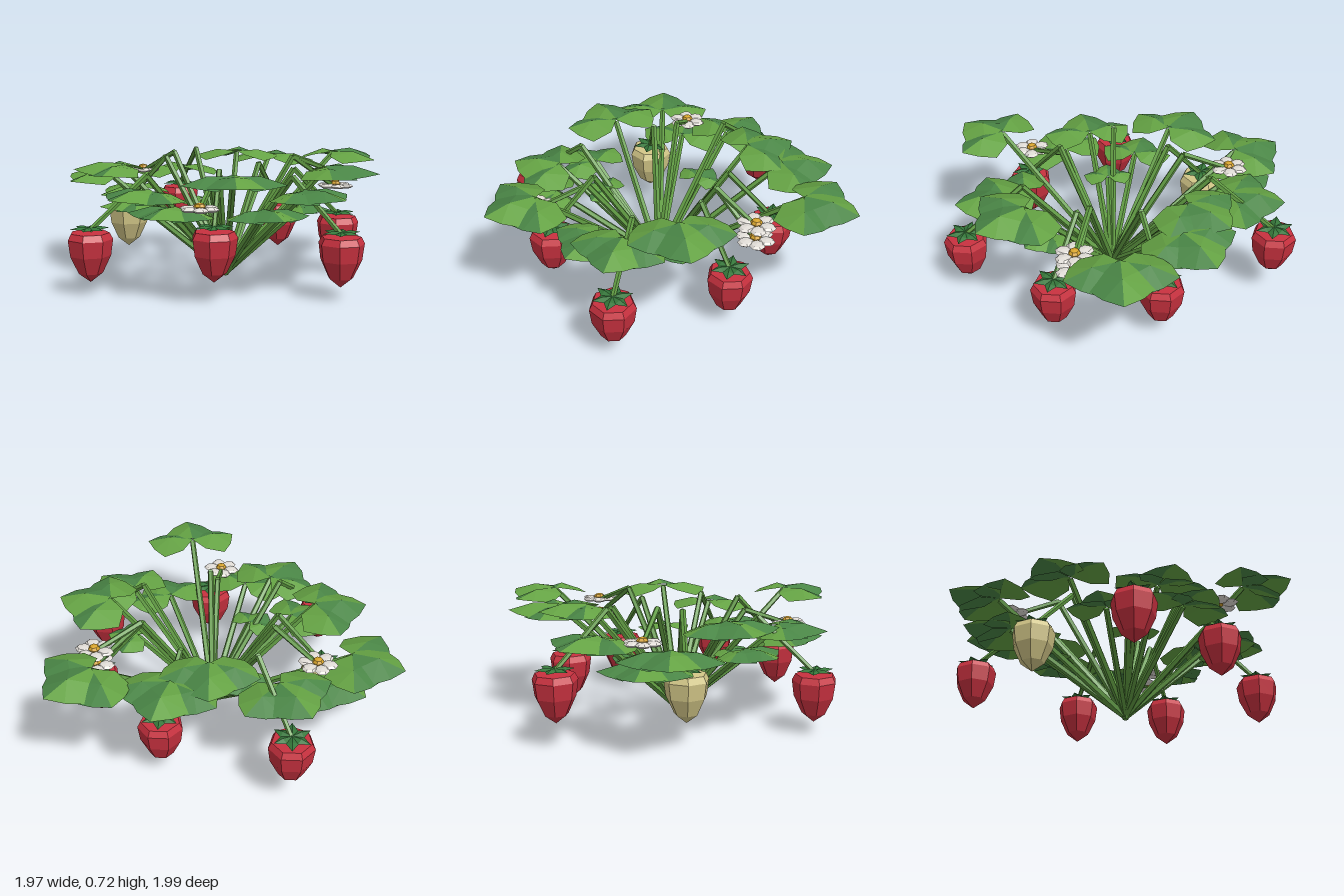
import * as THREE from 'three';

const mat = (name, color, side = THREE.FrontSide) => {
  const m = new THREE.MeshStandardMaterial({ color, flatShading: true, side });
  m.name = name;
  return m;
};
const V = (x, y, z) => new THREE.Vector3(x, y, z);
const CROWN = V(0.1, 0.02, -0.03);

export function createModel() {
  const root = new THREE.Group();
  root.name = 'strawberryPlant';
  const M = {
    stem: mat('stemGreen', 0x609b42),
    light: mat('lightLeafGreen', 0x65a344, THREE.DoubleSide),
    dark: mat('deepLeafGreen', 0x4a8646, THREE.DoubleSide),
    calyx: mat('calyxGreen', 0x35773a, THREE.DoubleSide),
    red: mat('ripeRed', 0xc8313f),
    cream: mat('unripeCream', 0xd3c788),
    petal: mat('petalWhite', 0xe2ded8),
    yellow: mat('pollenYellow', 0xd9a52c),
  };
  const add = (parent, geo, material, name) => {
    const mesh = new THREE.Mesh(geo, material);
    mesh.name = name;
    parent.add(mesh);
    return mesh;
  };
  const group = (name) => {
    const g = new THREE.Group();
    g.name = name;
    root.add(g);
    return g;
  };

  // Straight stalk segments through a list of points
  function stalk(parent, points, name, r = 0.021) {
    for (let i = 0; i + 1 < points.length; i++) {
      const [a, b] = [points[i], points[i + 1]];
      const d = b.clone().sub(a);
      const geo = new THREE.CylinderGeometry(r * 0.82, r, d.length(), 5);
      const mesh = add(parent, geo, M.stem, name);
      mesh.position.copy(a).add(b).multiplyScalar(0.5);
      mesh.quaternion.setFromUnitVectors(V(0, 1, 0), d.normalize());
      r *= 0.82;
    }
  }

  // Leaflet: two faceted halves around a raised middle, pointing along +z
  function leafletGeometry(len, w, flip) {
    const mid = [0, 0.006, len * 0.5];
    const half = (s) => [
      [0, 0, 0], [s * w * 0.72, -0.02, len * 0.14], [s * w, -0.052, len * 0.52],
      [s * w * 0.58, -0.042, len * 0.8], [0, -0.035, len],
    ];
    const pos = [];
    for (const s of [1, -1]) {
      const rim = half(s);
      for (let i = 0; i < 4; i++) {
        const [a, b] = s > 0 ? [rim[i + 1], rim[i]] : [rim[i], rim[i + 1]];
        pos.push(...mid, ...a, ...b);
      }
    }
    const geo = new THREE.BufferGeometry();
    geo.setAttribute('position', new THREE.Float32BufferAttribute(pos, 3));
    geo.computeVertexNormals();
    geo.addGroup(0, 12, flip ? 1 : 0);
    geo.addGroup(12, 12, flip ? 0 : 1);
    return geo;
  }
  const side = [leafletGeometry(0.28, 0.148, false), leafletGeometry(0.28, 0.148, true)];
  const front = leafletGeometry(0.285, 0.155, false);

  // Three-part leaves on long stalks: centre x, top y, centre z, size
  const leaves = [
    [0.29, 0.66, -0.8, 1.04], [0.75, 0.69, -0.73, 1.07], [0.79, 0.67, 0.06, 1.08],
    [0.67, 0.57, 0.38, 0.98], [0.43, 0.47, 0.48, 0.9], [0.29, 0.69, 0.81, 1.02],
    [-0.28, 0.57, 0.56, 1], [-0.1, 0.49, 0.62, 0.95], [-0.59, 0.66, 0.08, 1.05],
    [-0.785, 0.57, -0.33, 1.06], [-0.35, 0.58, -0.67, 1.04], [0.07, 0.69, -0.67, 1],
    [-0.6, 0.47, -0.42, 0.98], [-0.43, 0.47, 0.26, 0.8],
    [-0.13, 0.41, -0.38, 0.54], [-0.15, 0.42, 0.25, 0.54], [0.6, 0.44, 0.02, 0.62],
  ];
  for (const [x, y, z, s] of leaves) {
    const g = group('leaf');
    const dir = V(x - CROWN.x, 0, z - CROWN.z).normalize();
    const hub = V(x, y, z).addScaledVector(dir, -0.095 * s);
    stalk(g, [CROWN, hub.clone().setY(y - 0.012)], 'leafStalk');
    const blade = new THREE.Group();
    blade.name = 'leafBlade';
    blade.position.copy(hub);
    blade.rotation.y = Math.atan2(dir.x, dir.z);
    blade.scale.setScalar(s);
    g.add(blade);
    const mats = [M.light, M.dark];
    add(blade, front, mats, 'middleLeaflet').position.y = 0.008;
    [1, -1].forEach((k, i) => {
      add(blade, side[i], mats, 'sideLeaflet').rotation.y = k * 1.25;
    });
  }

  // Arching stalk that peaks part-way and comes down on its fruit or flower
  const arch = (g, end, peakY, name) => {
    const peak = CROWN.clone().lerp(end, 0.6).setY(peakY);
    stalk(g, [CROWN, peak, end], name);
  };

  // Berries: x, top y, z
  const berryGeo = new THREE.LatheGeometry([
    [0, -0.275], [0.068, -0.222], [0.114, -0.125], [0.126, -0.035], [0.108, 0], [0, 0.004],
  ].map(([r, y]) => new THREE.Vector2(r, y)), 7);
  const sepalGeo = new THREE.BufferGeometry();
  sepalGeo.setAttribute('position', new THREE.Float32BufferAttribute(
    [0, 0.028, 0, 0.033, 0.02, 0.05, 0, 0.034, 0.055, 0, 0.022, 0.11, -0.033, 0.02, 0.05], 3));
  sepalGeo.setIndex([0, 2, 1, 1, 2, 3, 0, 4, 2, 4, 3, 2]);
  sepalGeo.computeVertexNormals();
  const berries = [
    [-0.365, 0.415, -0.845], [-0.545, 0.345, 0.57], [0.805, 0.345, 0.44], [0.152, 0.385, 0.62],
    [0.745, 0.345, -0.225], [0.34, 0.345, -0.635], [-0.535, 0.405, -0.17, M.cream],
  ];
  for (const [x, y, z, skin = M.red] of berries) {
    const g = group('berry');
    arch(g, V(x, y + 0.01, z), y + 0.29, 'berryStalk');
    add(g, berryGeo, skin, 'fruit').position.set(x, y, z);
    for (let i = 0; i < 6; i++) {
      const sepal = add(g, sepalGeo, M.calyx, 'sepal');
      sepal.position.set(x, y, z);
      sepal.rotation.y = (i * Math.PI) / 3;
    }
  }

  // Flowers: x, y, z, peak of stalk
  const petalGeo = new THREE.SphereGeometry(1, 7, 4);
  const flowers = [
    [-0.5, 0.58, -0.4, 0.71], [0.72, 0.51, -0.37, 0.7],
    [0.72, 0.6, -0.37, 0.7], [0.085, 0.51, 0.67, 0.6],
  ];
  for (const [x, y, z, peakY] of flowers) {
    const g = group('flower');
    arch(g, V(x, y - 0.01, z), peakY, 'flowerStalk');
    for (let i = 0; i < 6; i++) {
      const a = (i * Math.PI) / 3 + 0.3;
      const petal = add(g, petalGeo, M.petal, 'petal');
      petal.position.set(x + Math.sin(a) * 0.064, y, z + Math.cos(a) * 0.064);
      petal.rotation.y = a;
      petal.scale.set(0.043, 0.015, 0.047);
    }
    const eye = add(g, petalGeo, M.yellow, 'flowerCentre');
    eye.position.set(x, y + 0.012, z);
    eye.scale.set(0.033, 0.022, 0.033);
  }

  // Crown where all stalks meet
  add(root, new THREE.CylinderGeometry(0.045, 0.015, 0.05, 7), M.stem, 'crown')
    .position.set(CROWN.x, 0.025, CROWN.z);
  return root;
}
